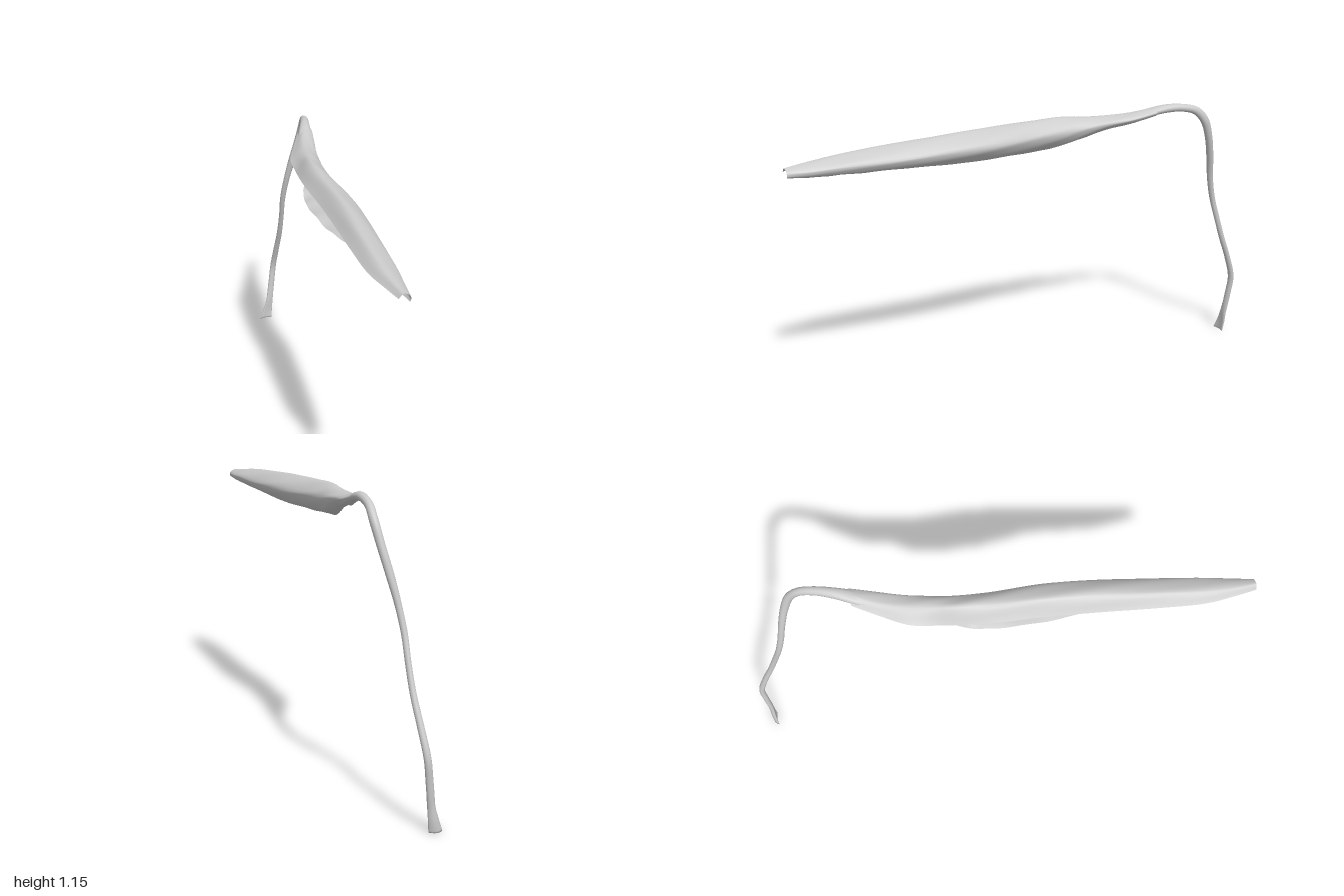
import * as THREE from 'three';

const V = (x, y, z) => new THREE.Vector3(x, y, z);

// Skin rows of points; wrap closes each row into a ring.
function loft(rows, wrap) {
  const n = rows[0].length, pos = [], idx = [];
  rows.forEach(r => r.forEach(p => pos.push(p.x, p.y, p.z)));
  for (let i = 0; i < rows.length - 1; i++)
    for (let j = 0; j < (wrap ? n : n - 1); j++) {
      const k = (j + 1) % n, a = i * n + j, b = i * n + k;
      idx.push(a, b, a + n, b, b + n, a + n);
    }
  const g = new THREE.BufferGeometry();
  g.setAttribute('position', new THREE.Float32BufferAttribute(pos, 3));
  g.setIndex(idx);
  g.computeVertexNormals();
  return g;
}

// Stalk stations: x, y, z, half width, half thickness
const STALK = [
  [0.046, 0.008, -0.982, 0.029, 0.008],
  [0.057, 0.05, -0.982, 0.023, 0.009],
  [0.070, 0.11, -0.979, 0.016, 0.010],
  [0.084, 0.2, -0.983, 0.015, 0.011],
  [0.096, 0.29, -0.984, 0.014, 0.012],
  [0.103, 0.4, -0.947, 0.013, 0.012],
  [0.106, 0.5, -0.905, 0.012, 0.012],
  [0.105, 0.6, -0.870, 0.011, 0.012],
  [0.102, 0.7, -0.838, 0.012, 0.012],
  [0.112, 0.8, -0.810, 0.013, 0.013],
  [0.131, 0.9, -0.786, 0.016, 0.014],
  [0.150, 1.0, -0.756, 0.016, 0.016],
  [0.158, 1.08, -0.722, 0.016, 0.018],
  [0.150, 1.125, -0.68, 0.016, 0.017],
  [0.133, 1.142, -0.62, 0.018, 0.016],
  [0.112, 1.143, -0.56, 0.022, 0.017],
  [0.086, 1.131, -0.49, 0.028, 0.016],
  [0.058, 1.112, -0.42, 0.026, 0.012],
  [0.030, 1.102, -0.33, 0.010, 0.006],
];

function stalkGeometry() {
  const path = new THREE.CatmullRomCurve3(STALK.map(s => V(s[0], s[1], s[2])));
  const size = new THREE.CatmullRomCurve3(STALK.map(s => V(s[3], s[4], 0)));
  const rows = [], steps = 110, sides = 16, X = V(1, 0, 0);
  for (let i = 0; i <= steps; i++) {
    const t = i / steps, c = path.getPoint(t), s = size.getPoint(t);
    const N = path.getTangent(t).cross(X).normalize();
    const curl = 0.012 * Math.max(0, 1 - c.y / 0.15);   // channelled foot
    const ring = [];
    for (let j = 0; j < sides; j++) {
      const a = j / sides * Math.PI * 2, k = Math.cos(a);
      const p = c.clone().addScaledVector(X, k * s.x);
      ring.push(p.addScaledVector(N, Math.sin(a) * s.y - curl * k * k));
    }
    if (i === 0) rows.push(ring.map(() => c.clone()));
    rows.push(ring);
    if (i === steps) rows.push(ring.map(() => c.clone()));
  }
  return loft(rows, true);
}

// Blade sections: z, then x,y of upper left edge, crest, right side, lower edge
const BLADE = [
  [1.0, -0.162, 1.058, -0.145, 1.075, -0.120, 1.062, -0.122, 1.042],
  [0.92, -0.172, 1.062, -0.145, 1.084, -0.100, 1.060, -0.115, 1.034],
  [0.8, -0.180, 1.064, -0.140, 1.096, -0.074, 1.064, -0.108, 1.025],
  [0.6, -0.162, 1.070, -0.112, 1.112, -0.036, 1.066, -0.098, 1.017],
  [0.4, -0.137, 1.072, -0.082, 1.124, -0.004, 1.072, -0.098, 1.004],
  [0.2, -0.116, 1.076, -0.060, 1.131, 0.019, 1.076, -0.104, 0.995],
  [0.0, -0.101, 1.080, -0.042, 1.136, 0.023, 1.082, -0.090, 0.995],
  [-0.12, -0.083, 1.078, -0.028, 1.136, 0.033, 1.086, -0.062, 1.008],
  [-0.2, -0.068, 1.076, -0.010, 1.131, 0.046, 1.094, -0.022, 1.034],
  [-0.3, -0.050, 1.086, 0.012, 1.126, 0.066, 1.103, 0.010, 1.068],
  [-0.4, 0.000, 1.100, 0.046, 1.131, 0.096, 1.114, 0.046, 1.088],
  [-0.5, 0.055, 1.124, 0.087, 1.149, 0.122, 1.134, 0.087, 1.115],
];

function bladeGeometry() {
  const rail = k => new THREE.CatmullRomCurve3(BLADE.map(s => V(s[k], s[k + 1], s[0])));
  const rails = [1, 3, 5, 7].map(rail), rows = [], steps = 100, across = 28;
  for (let i = 0; i <= steps; i++) {
    const t = i / steps, [L, T, R, B] = rails.map(r => r.getPoint(t));
    const w = R.distanceTo(B);
    const under = R.clone().lerp(B, 0.5).add(V(0.14 * w, -0.14 * w, 0));
    // ragged lower edge
    B.y += 0.04 * w * Math.sin(t * 61) * Math.sin(t * 23);
    const section = new THREE.CatmullRomCurve3([L, T, R, under, B]).getPoints(across);
    // shallow oblique veins
    section.forEach((p, j) => {
      p.y += 0.012 * w * Math.sin(j * 1.1 + t * 30) * Math.sin(Math.PI * j / across);
    });
    rows.push(section);
  }
  return loft(rows, false);
}

export function createModel() {
  const group = new THREE.Group();
  group.name = 'curledLeaf';
  const add = (name, geometry, side) => {
    const mesh = new THREE.Mesh(geometry, new THREE.MeshStandardMaterial({ color: 0xcccccc, side }));
    mesh.name = name;
    group.add(mesh);
  };
  add('stalk', stalkGeometry(), THREE.FrontSide);
  add('blade', bladeGeometry(), THREE.DoubleSide);
  return group;
}
